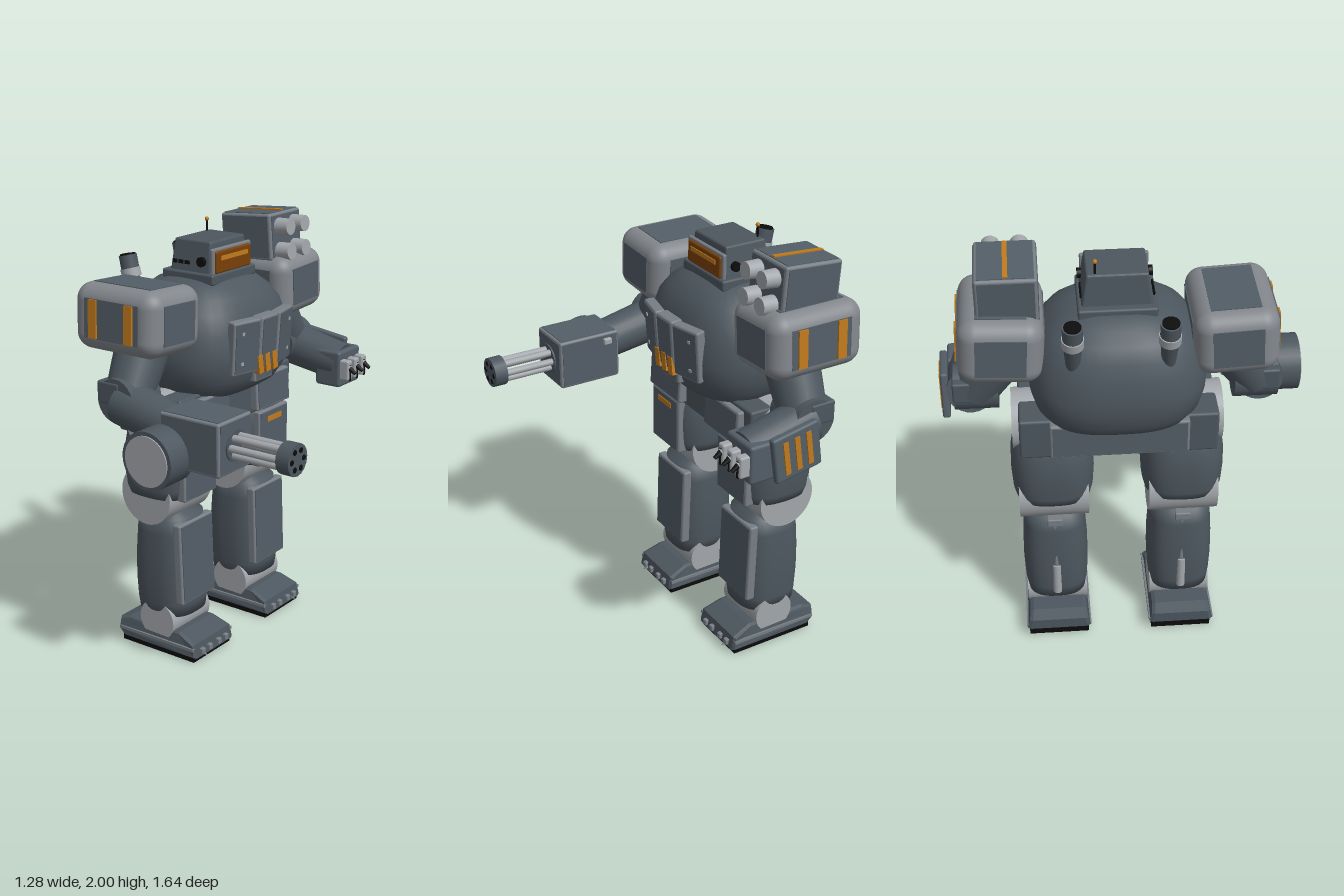
import * as THREE from 'three';
import { RoundedBoxGeometry } from 'three/addons/geometries/RoundedBoxGeometry.js';

const paint = (name, color) => Object.assign(new THREE.MeshStandardMaterial({ color }), { name });

export function createModel() {
  const steel = paint('dark steel', 0x4d575f);
  const panelMat = paint('panel steel', 0x535e67);
  const trim = paint('trim grey', 0x777e85);
  const armour = paint('armour grey', 0x83878c);
  const joint = paint('joint silver', 0xa3a7ab);
  const black = paint('black rubber', 0x0c0c0d);
  const orange = paint('orange marking', 0xc07a1c);
  const amber = paint('dark amber glass', 0x7a4008);

  const model = new THREE.Group();
  model.name = 'walkerRobot';
  const body = new THREE.Group(); // body is mirrored about its own centre plane
  body.name = 'body';
  body.position.z = -0.045;
  model.add(body);

  function add(parent, name, geo, mat, x = 0, y = 0, z = 0) {
    const m = new THREE.Mesh(geo, mat);
    m.name = name;
    m.position.set(x, y, z);
    parent.add(m);
    return m;
  }
  function box(parent, name, mat, w, h, d, x, y, z, r = 0) {
    const geo = r ? new RoundedBoxGeometry(w, h, d, r > 0.03 ? 5 : 2, r) : new THREE.BoxGeometry(w, h, d);
    return add(parent, name, geo, mat, x, y, z);
  }
  // Cylinder between two points
  function rod(parent, name, mat, a, b, r0, r1 = r0, seg = 24) {
    const p = new THREE.Vector3(...a), q = new THREE.Vector3(...b);
    const m = add(parent, name, new THREE.CylinderGeometry(r1, r0, p.distanceTo(q), seg), mat);
    m.position.copy(p).add(q).multiplyScalar(0.5);
    m.quaternion.setFromUnitVectors(new THREE.Vector3(0, 1, 0), q.sub(p).normalize());
    return m;
  }
  // Lathe pushed out to a rounded-square cross-section
  function shell(parent, name, mat, profile, hx, hz, n, x, z) {
    const geo = new THREE.LatheGeometry(profile.map(p => new THREE.Vector2(...p)), 48);
    const pos = geo.attributes.position;
    for (let i = 0; i < pos.count; i++) {
      const px = pos.getX(i), pz = pos.getZ(i), r = Math.hypot(px, pz);
      if (r < 1e-6) continue;
      const k = Math.pow(Math.abs(px / r) ** n + Math.abs(pz / r) ** n, -1 / n);
      pos.setX(i, px * k * hx);
      pos.setZ(i, pz * k * hz);
    }
    geo.computeVertexNormals();
    return add(parent, name, geo, mat, x, 0, z);
  }
  // Forward-facing plate with a light rim
  function plate(parent, name, t, h, d, x, y, z) {
    const g = new THREE.Group();
    g.name = name;
    g.position.set(x, y, z);
    box(g, name + 'Rim', trim, t, h, d, 0, 0, 0, 0.01);
    box(g, name + 'Face', panelMat, t + 0.006, h - 0.022, d - 0.022, 0, 0, 0);
    parent.add(g);
    return g;
  }

  // Torso
  shell(body, 'torso', steel, [[0, 1.235], [0.7, 1.235], [0.84, 1.265], [0.94, 1.32], [0.99, 1.39], [1, 1.45],
    [0.97, 1.54], [0.89, 1.63], [0.77, 1.69], [0.6, 1.74], [0.4, 1.765], [0, 1.77]], 0.33, 0.38, 2.8, -0.3, 0);

  // Chest armour: centre plate and two swept wings
  plate(body, 'chestCentre', 0.06, 0.25, 0.13, 0.028, 1.485, 0).rotation.z = -0.07;
  for (const s of [1, -1]) {
    const wing = plate(body, 'chestWing', 0.05, 0.25, 0.16, 0.018, 1.485, s * 0.142);
    wing.rotation.set(0, -s * 0.22, -0.07);
    for (const y of [-0.07, 0.07]) box(wing, 'chestBolt', joint, 0.008, 0.014, 0.014, 0.028, y, s * 0.03);
  }
  for (let i = -1; i <= 1; i++) box(body, 'chestFin', orange, 0.03, 0.085, 0.035, 0.045, 1.39, 0.055 * i + 0.01).rotation.x = 0.15;
  plate(body, 'bellyBlock', 0.12, 0.09, 0.14, -0.03, 1.345, 0);

  // Pelvis
  box(body, 'pelvis', steel, 0.36, 0.2, 0.86, -0.3, 1.175, 0, 0.012);
  for (const s of [1, -1]) plate(body, 'pelvisFront', 0.05, 0.165, 0.27, -0.11, 1.175, s * 0.24).rotation.z = 0.06;
  plate(body, 'pelvisBack', 0.06, 0.17, 0.6, -0.485, 1.185, 0);

  // Head
  box(body, 'headBase', steel, 0.29, 0.05, 0.33, -0.28, 1.765, 0, 0.01);
  const headGeo = new RoundedBoxGeometry(0.23, 0.16, 0.3, 2, 0.012);
  const hp = headGeo.attributes.position;
  for (let i = 0; i < hp.count; i++) if (hp.getY(i) > 0.04) {
    hp.setX(i, hp.getX(i) * 0.9);
    hp.setZ(i, hp.getZ(i) * 0.86);
  }
  headGeo.computeVertexNormals();
  add(body, 'head', headGeo, steel, -0.275, 1.85, 0);
  box(body, 'visorFrame', trim, 0.02, 0.125, 0.29, -0.158, 1.84, 0, 0.008);
  box(body, 'visor', amber, 0.025, 0.1, 0.26, -0.15, 1.84, 0, 0.008);
  box(body, 'visorGlow', orange, 0.006, 0.02, 0.2, -0.136, 1.858, 0);
  for (const s of [1, -1]) {
    rod(body, 'headSensor', black, [-0.21, 1.84, s * 0.14], [-0.21, 1.84, s * 0.158], 0.022);
    for (let i = 0; i < 3; i++) box(body, 'headVent', black, 0.024, 0.016, 0.008, -0.36 + i * 0.035, 1.83, s * 0.15);
  }
  rod(body, 'antenna', black, [-0.36, 1.92, -0.09], [-0.36, 1.98, -0.09], 0.005, 0.005, 8);
  add(body, 'antennaTip', new THREE.SphereGeometry(0.01, 10, 8), orange, -0.36, 1.985, -0.09);

  for (const s of [1, -1]) {
    // Exhaust stacks
    const ez = s * 0.195;
    rod(body, 'exhaustPipe', steel, [-0.53, 1.55, ez], [-0.585, 1.75, ez], 0.025, 0.04);
    rod(body, 'exhaustCollar', joint, [-0.58, 1.735, ez], [-0.59, 1.775, ez], 0.046);
    rod(body, 'exhaustTip', steel, [-0.588, 1.77, ez], [-0.602, 1.835, ez], 0.042);
    rod(body, 'exhaustMouth', black, [-0.601, 1.834, ez], [-0.602, 1.84, ez], 0.036);

    // Shoulder pads with inset panels and stripes
    const sh = new THREE.Group();
    sh.name = 'shoulder';
    sh.position.set(-0.303, 1.648, s * 0.485);
    sh.rotation.x = -s * 0.05;
    body.add(sh);
    box(sh, 'shoulderPad', armour, 0.465, 0.295, 0.355, 0, 0, 0, 0.075);
    box(sh, 'shoulderSidePanels', panelMat, 0.3, 0.175, 0.361, 0, 0, 0);
    box(sh, 'shoulderEndPanels', panelMat, 0.471, 0.175, 0.21, 0, 0, 0);
    box(sh, 'shoulderTopPanel', panelMat, 0.32, 0.301, 0.21, 0, 0, 0);
    for (const x of [-0.1, 0.1]) box(sh, 'shoulderStripe', orange, 0.045, 0.17, 0.016, x, 0, s * 0.18);

    // Upper arm, elbow, forearm
    rod(body, 'upperArm', steel, [-0.28, 1.54, s * 0.47], [-0.26, 1.31, s * 0.615], 0.125, 0.105);
    rod(body, 'elbow', steel, [-0.26, 1.32, s * 0.51], [-0.26, 1.32, s * 0.7], 0.1);
    box(body, 'elbowGuard', steel, 0.12, 0.1, 0.1, -0.3, 1.35, s * 0.655, 0.01);
    rod(body, 'forearm', steel, [-0.27, 1.3, s * 0.63], [0.05, 1.235, s * 0.64], 0.105, 0.095);

    // Leg
    const leg = new THREE.Group();
    leg.name = 'leg';
    leg.position.z = s * 0.29;
    body.add(leg);
    rod(leg, 'hip', joint, [-0.28, 1.15, -0.13], [-0.28, 1.15, 0.17], 0.135, 0.135, 32).position.z = s * 0.02;
    shell(leg, 'thigh', steel, [[0, 0.79], [0.92, 0.79], [0.97, 0.83], [1, 0.92], [0.99, 1], [0.92, 1.08],
      [0.75, 1.15], [0, 1.18]], 0.185, 0.185, 2.8, -0.305, 0);
    plate(leg, 'thighPlate', 0.05, 0.28, 0.24, -0.142, 0.925, 0);
    box(leg, 'thighStripe', orange, 0.008, 0.026, 0.115, -0.114, 1.017, 0);
    rod(leg, 'knee', joint, [-0.32, 0.79, -0.155], [-0.32, 0.79, 0.155], 0.142, 0.142, 32);
    shell(leg, 'shin', steel, [[0, 0.19], [0.92, 0.19], [0.97, 0.25], [1, 0.36], [0.99, 0.48], [0.94, 0.6],
      [0.88, 0.68], [0, 0.72]], 0.155, 0.15, 2.8, -0.297, 0);
    plate(leg, 'shinPlate', 0.045, 0.4, 0.25, -0.165, 0.465, 0).rotation.z = 0.03;
    rod(leg, 'calfPistonSleeve', joint, [-0.443, 0.23, 0], [-0.443, 0.4, 0], 0.02);
    rod(leg, 'calfPistonRod', trim, [-0.443, 0.38, 0], [-0.425, 0.66, 0], 0.013);
    box(leg, 'pistonBracket', trim, 0.06, 0.04, 0.07, -0.425, 0.665, 0, 0.006);
    rod(leg, 'ankle', joint, [-0.285, 0.16, -0.14], [-0.285, 0.16, 0.14], 0.1, 0.1, 28);

    // Foot: tapered block on a black sole
    const side = new THREE.Shape([[-0.48, 0.03], [-0.51, 0.06], [-0.51, 0.105], [-0.46, 0.12], [-0.16, 0.12],
      [-0.07, 0.085], [-0.06, 0.03]].map(p => new THREE.Vector2(...p)));
    const footGeo = new THREE.ExtrudeGeometry(side, { depth: 0.27, bevelSize: 0.008, bevelThickness: 0.015, bevelSegments: 1 });
    const fp = footGeo.attributes.position;
    for (let i = 0; i < fp.count; i++) {
      const rise = Math.max(0, fp.getY(i) - 0.07);
      fp.setZ(i, (fp.getZ(i) - 0.135) * (1 - rise * 2.2));
    }
    footGeo.computeVertexNormals();
    add(leg, 'foot', footGeo, steel);
    box(leg, 'footRim', trim, 0.445, 0.014, 0.305, -0.285, 0.067, 0);
    box(leg, 'sole', black, 0.43, 0.03, 0.28, -0.28, 0.015, 0);
    for (const z of [-0.09, -0.035, 0.035, 0.09]) box(leg, 'toeStud', trim, 0.03, 0.03, 0.026, -0.055, 0.048, z, 0.005);
    rod(leg, 'toeSpike', trim, [-0.07, 0.035, s * 0.08], [-0.03, 0.027, s * 0.08], 0.014, 0.001, 8);
  }

  // Launcher pod on the left shoulder
  const pod = new THREE.Group();
  pod.name = 'launcherPod';
  pod.position.set(-0.305, 1.87, -0.495);
  pod.rotation.z = 0.07;
  model.add(pod);
  box(pod, 'podCase', trim, 0.285, 0.22, 0.255, 0, 0, 0, 0.012);
  box(pod, 'podSides', panelMat, 0.26, 0.195, 0.261, 0, 0, 0);
  box(pod, 'podTop', panelMat, 0.26, 0.226, 0.23, 0, 0, 0);
  box(pod, 'podEnds', panelMat, 0.291, 0.195, 0.23, 0, 0, 0);
  box(pod, 'podStripe', orange, 0.25, 0.01, 0.02, 0, 0.114, 0);
  for (const y of [-0.07, 0.045]) for (const z of [-0.06, 0.06]) {
    rod(pod, 'launchTube', joint, [0.13, y, z], [0.215, y, z], 0.042, 0.038);
  }

  // Rotary gun on the right arm
  const gun = new THREE.Group();
  gun.name = 'gun';
  model.add(gun);
  box(gun, 'gunCase', trim, 0.31, 0.235, 0.23, 0.17, 1.22, 0.577, 0.01);
  box(gun, 'gunCaseSides', panelMat, 0.288, 0.213, 0.236, 0.17, 1.22, 0.577);
  box(gun, 'gunCaseTop', panelMat, 0.288, 0.241, 0.208, 0.17, 1.22, 0.577);
  box(gun, 'gunCaseEnds', panelMat, 0.316, 0.213, 0.208, 0.17, 1.22, 0.577);
  rod(gun, 'gunMount', steel, [0.31, 1.22, 0.58], [0.335, 1.22, 0.58], 0.07);
  for (let i = 0; i < 6; i++) {
    const a = i * Math.PI / 3, y = 1.22 + 0.043 * Math.sin(a), z = 0.58 + 0.043 * Math.cos(a);
    rod(gun, 'barrel', joint, [0.32, y, z], [0.6, y, z], 0.016, 0.016, 12);
    rod(gun, 'bore', black, [0.636, y, z], [0.64, y, z], 0.012, 0.012, 12);
  }
  rod(gun, 'muzzleRing', steel, [0.575, 1.22, 0.58], [0.637, 1.22, 0.58], 0.07, 0.07, 16);
  rod(gun, 'ammoDrum', steel, [0.04, 1.155, 0.66], [0.04, 1.155, 0.812], 0.13, 0.13, 32);
  rod(gun, 'drumCap', joint, [0.04, 1.155, 0.81], [0.04, 1.155, 0.818], 0.112, 0.112, 32);
  box(gun, 'feedLatch', joint, 0.04, 0.03, 0.03, 0.08, 1.3, 0.455, 0.006);

  // Left hand and forearm guard
  const hand = new THREE.Group();
  hand.name = 'hand';
  model.add(hand);
  box(hand, 'fist', panelMat, 0.14, 0.18, 0.19, 0.02, 1.22, -0.69, 0.015);
  for (const z of [-0.755, -0.69, -0.625]) {
    box(hand, 'knuckle', joint, 0.06, 0.1, 0.042, 0.105, 1.22, z, 0.01);
    rod(hand, 'finger', joint, [0.09, 1.25, z], [0.135, 1.23, z], 0.018, 0.016, 12);
    rod(hand, 'fingertip', black, [0.13, 1.232, z], [0.165, 1.21, z], 0.014, 0.008, 10);
    box(hand, 'fingerSlot', black, 0.006, 0.08, 0.012, 0.134, 1.21, z);
  }
  const guard = new THREE.Group();
  guard.name = 'forearmGuard';
  guard.position.set(-0.13, 1.24, -0.793);
  guard.rotation.set(0, 0.04, -0.15);
  model.add(guard);
  box(guard, 'guardPlate', panelMat, 0.24, 0.22, 0.035, 0, 0, 0, 0.012);
  for (const x of [-0.06, 0, 0.06]) box(guard, 'guardStripe', orange, 0.026, 0.16, 0.009, x, 0, -0.018);

  return model;
}
